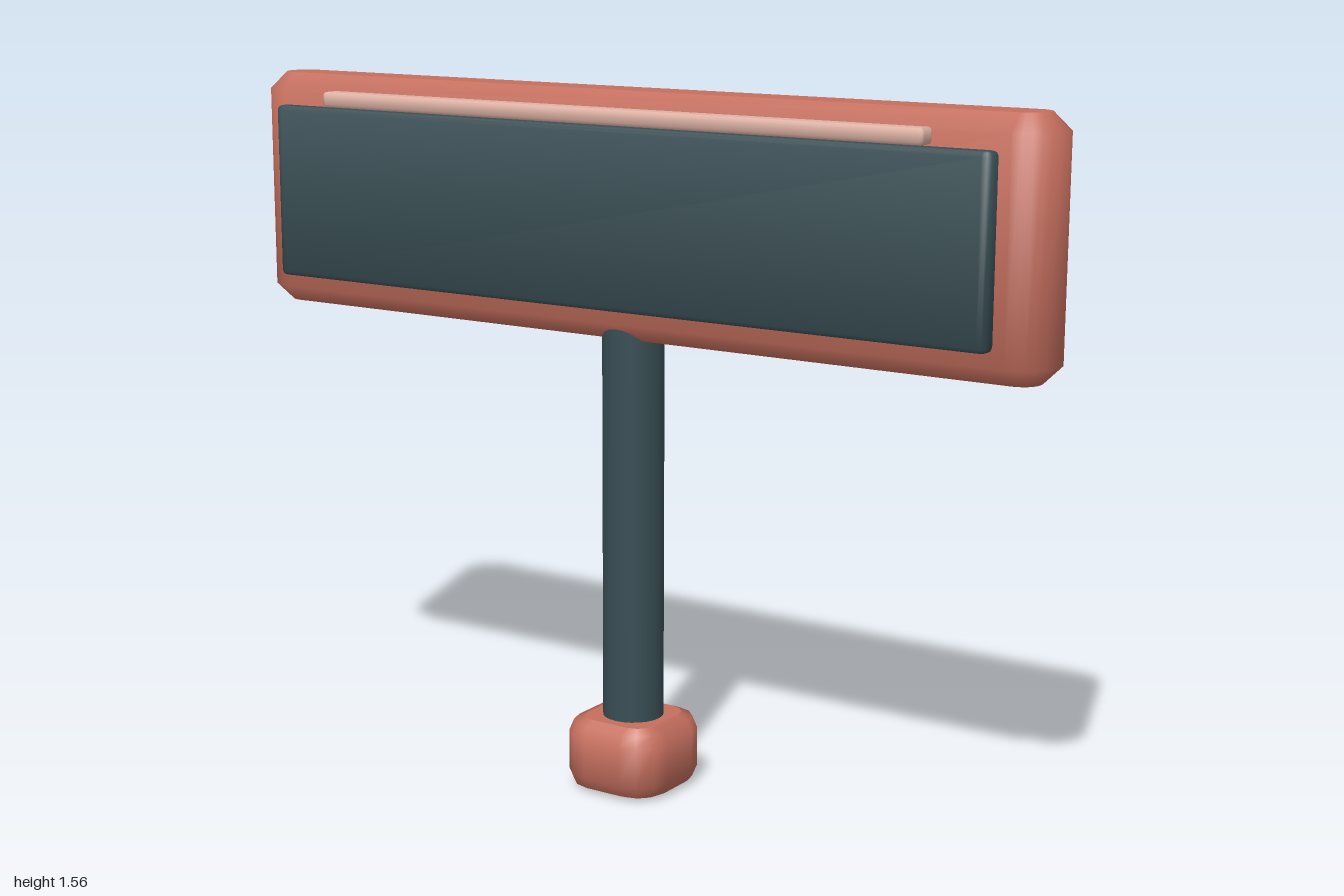
import * as THREE from 'three';

// Upright block with rounded vertical corners and softly shaded bevels at top and bottom.
function softBlock(width, height, depth, radius, bevel, cornerSteps, bevelSteps) {
  const positions = [], normals = [], index = [];

  // Outline in x/z, as corner centres and outward directions
  const outline = [];
  [[1, 1], [-1, 1], [-1, -1], [1, -1]].forEach(([sx, sz], corner) => {
    for (let s = 0; s <= cornerSteps; s++) {
      const t = (corner + s / cornerSteps) * Math.PI / 2;
      outline.push({
        cx: sx * (width / 2 - radius), cz: sz * (depth / 2 - radius),
        nx: Math.cos(t), nz: Math.sin(t),
      });
    }
  });
  const n = outline.length;

  // Rings from bottom to top: height, inset and vertical tilt of the normal
  const rings = [];
  for (let i = 0; i <= bevelSteps; i++) {
    const a = (1 - i / bevelSteps) * Math.PI / 2;
    rings.push({
      y: -height / 2 + bevel * (1 - Math.sin(a)),
      inset: bevel * (1 - Math.cos(a)),
      tilt: -0.35 - 0.65 * (1 - i / bevelSteps),
    });
  }
  for (const r of rings.slice().reverse()) rings.push({ y: -r.y, inset: r.inset, tilt: -r.tilt });

  const addRing = (ring, flat) => {
    for (const p of outline) {
      const r = radius - ring.inset;
      positions.push(p.cx + p.nx * r, ring.y, p.cz + p.nz * r);
      const normal = flat
        ? new THREE.Vector3(0, flat, 0)
        : new THREE.Vector3(p.nx, ring.tilt, p.nz).normalize();
      normals.push(normal.x, normal.y, normal.z);
    }
  };
  rings.forEach((ring) => addRing(ring, 0));
  for (let i = 0; i < rings.length - 1; i++) {
    for (let j = 0; j < n; j++) {
      const a = i * n + j, b = i * n + (j + 1) % n;
      index.push(a, a + n, b, b, a + n, b + n);
    }
  }

  // Flat caps with their own sharp edge
  for (const side of [-1, 1]) {
    const start = positions.length / 3;
    const ring = side < 0 ? rings[0] : rings[rings.length - 1];
    addRing(ring, side);
    for (let j = 1; j < n - 1; j++) {
      if (side < 0) index.push(start, start + j, start + j + 1);
      else index.push(start, start + j + 1, start + j);
    }
  }

  const geometry = new THREE.BufferGeometry();
  geometry.setAttribute('position', new THREE.Float32BufferAttribute(positions, 3));
  geometry.setAttribute('normal', new THREE.Float32BufferAttribute(normals, 3));
  geometry.setIndex(index);
  return geometry;
}

export function createModel() {
  const material = (name, color) => {
    const m = new THREE.MeshStandardMaterial({ color });
    m.name = name;
    return m;
  };
  const terracotta = material('terracotta', 0xc66f5e);
  const darkTeal = material('dark teal', 0x384e54);
  const paleClay = material('pale clay', 0xdeb2a4);

  const group = new THREE.Group();
  group.name = 'signPost';
  const add = (name, geometry, mat, x, y, z) => {
    const mesh = new THREE.Mesh(geometry, mat);
    mesh.name = name;
    mesh.position.set(x, y, z);
    group.add(mesh);
  };

  // Foot and pole
  add('foot', softBlock(0.25, 0.163, 0.255, 0.08, 0.036, 3, 2), terracotta, 0, 0.0815, -0.003);
  add('pole', new THREE.CylinderGeometry(0.068, 0.068, 0.96, 24), darkTeal, 0, 0.62, -0.003);

  // Board with its front panel and the light strip above it
  add('board', softBlock(2, 0.533, 0.164, 0.08, 0.038, 6, 1), terracotta, 0, 1.29, -0.004);
  add('frontPanel', softBlock(1.806, 0.39, 0.046, 0.02, 0.01, 3, 2), darkTeal, 0, 1.292, 0.105);
  add('topStrip', softBlock(1.514, 0.034, 0.048, 0.01, 0.007, 2, 2), paleClay, 0, 1.507, 0.106);

  return group;
}
